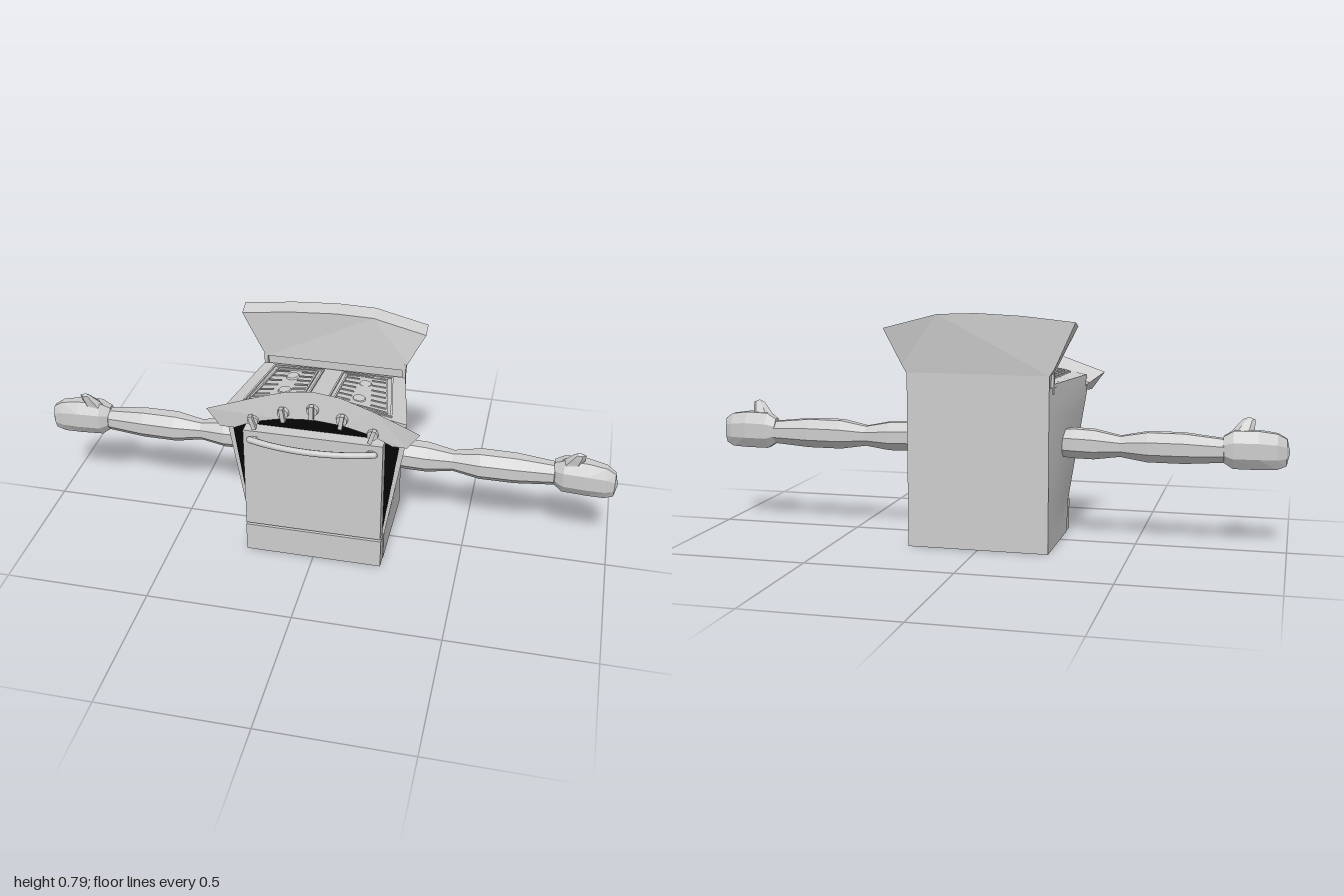
import * as THREE from 'three';

const clamp = THREE.MathUtils.clamp;

// Move every vertex by a rule, then refresh the normals
function warp(geo, rule) {
  const p = geo.attributes.position, v = new THREE.Vector3();
  for (let i = 0; i < p.count; i++) {
    v.fromBufferAttribute(p, i);
    rule(v);
    p.setXYZ(i, v.x, v.y, v.z);
  }
  geo.computeVertexNormals();
  return geo;
}

// Extrude an outline of [x, y] points between two z depths
function slab(points, z0, z1) {
  const shape = new THREE.Shape(points.map(p => new THREE.Vector2(p[0], p[1])));
  return new THREE.ExtrudeGeometry(shape, { depth: z1 - z0, bevelEnabled: false }).translate(0, 0, z0);
}

// Faceted loft through ellipses [x, y, z, radiusA, radiusB] along the x or y axis
function loft(sections, axis, sides = 8) {
  const pos = [], idx = [];
  for (const [x, y, z, a, b] of sections)
    for (let j = 0; j < sides; j++) {
      const t = (j + 0.5) / sides * Math.PI * 2, c = a * Math.cos(t), s = b * Math.sin(t);
      if (axis === 'x') pos.push(x, y + c, z + s);
      else pos.push(x + s, y, z + c);
    }
  for (let i = 0; i < sections.length - 1; i++)
    for (let j = 0; j < sides; j++) {
      const k = (j + 1) % sides, a = i * sides, b = a + sides;
      idx.push(a + j, a + k, b + j, a + k, b + k, b + j);
    }
  const g = new THREE.BufferGeometry();
  g.setAttribute('position', new THREE.Float32BufferAttribute(pos, 3));
  g.setIndex(idx);
  const flat = g.toNonIndexed();
  flat.computeVertexNormals();
  return flat;
}

// Sloping cooktop: half width and height at a point
const topWidth = z => 0.25 + 0.055 * (z + 0.17) / 0.3;
const topHeight = (x, z) => 0.56 + 0.058 * clamp((z + 0.17) / 0.3, 0, 1) * (1 - Math.abs(x) / topWidth(z));

export function createModel() {
  const root = new THREE.Group();
  root.name = 'stove';
  const grey = new THREE.MeshStandardMaterial({ color: 0xcccccc });
  grey.name = 'enamelGrey';
  const black = new THREE.MeshStandardMaterial({ color: 0x050505 });
  black.name = 'ovenBlack';

  const add = (name, geo, mat = grey, parent = root) => {
    const m = new THREE.Mesh(geo, mat);
    m.name = name;
    parent.add(m);
    return m;
  };
  const box = (name, w, h, d, x, y, z, parent = root) =>
    add(name, new THREE.BoxGeometry(w, h, d).translate(x, y, z), grey, parent);

  // Body, flaring towards the top of the front
  add('body', warp(new THREE.BoxGeometry(2, 0.55, 0.343, 1, 11, 4).translate(0, 0.275, -0.0415), v => {
    v.x *= 0.24 + 0.065 * clamp((v.y - 0.1) / 0.4, 0, 1) * clamp((v.z + 0.213) / 0.343, 0, 1);
  }));

  // Dark opening behind the door
  add('ovenOpening', slab([[-0.232, 0.1], [0.232, 0.1], [0.287, 0.51], [0.2, 0.55],
    [0, 0.585], [-0.2, 0.55], [-0.287, 0.51]], 0.129, 0.134), black);

  // Door and drawer
  box('door', 0.472, 0.383, 0.045, 0, 0.3085, 0.1575);
  box('drawer', 0.476, 0.107, 0.05, 0, 0.0535, 0.153);

  // Bowed door handle
  const bow = [];
  for (let i = 0; i <= 8; i++) {
    const u = i / 4 - 1;
    bow.push(new THREE.Vector3(0.21 * u, 0.473, 0.225 - 0.032 * u * u));
  }
  add('handle', new THREE.TubeGeometry(new THREE.CatmullRomCurve3(bow), 24, 0.011, 8));
  for (const s of [-1, 1]) {
    add('handleEnd', new THREE.SphereGeometry(0.011, 8, 6).translate(0.21 * s, 0.473, 0.193));
    box('handleMount', 0.016, 0.014, 0.024, 0.195 * s, 0.473, 0.186);
  }

  // Brow-shaped control panel, leaning back and narrowing behind
  const brow = [[-0.36, 0.565], [-0.315, 0.503], [-0.265, 0.503], [-0.2, 0.535], [-0.1, 0.56], [0, 0.568],
    [0.1, 0.56], [0.2, 0.535], [0.265, 0.503], [0.315, 0.503], [0.355, 0.56],
    [0.2, 0.622], [0.09, 0.657], [0, 0.667], [-0.09, 0.657], [-0.2, 0.622]];
  add('controlPanel', warp(slab(brow, 0.115, 0.175), v => {
    const upper = v.y > 0.56 + 0.09 * (1 - Math.abs(v.x) / 0.3) - 0.04;
    if (v.z > 0.14) v.z -= 0.13 * Math.max(0, v.y - 0.56);
    else {
      v.x *= 0.88;
      if (upper) v.y -= 0.032;
    }
  }));

  // Five knobs following the brow
  for (const [x, y] of [[-0.2, 0.54], [-0.098, 0.582], [0, 0.605], [0.098, 0.582], [0.2, 0.54]]) {
    const knob = new THREE.Group();
    knob.name = 'knob';
    knob.position.set(x, y, 0.176);
    knob.rotation.z = -x * 1.5;
    root.add(knob);
    const disc = new THREE.CylinderGeometry(0.018, 0.021, 0.014, 12).rotateX(Math.PI / 2);
    add('knobBase', disc, grey, knob);
    box('knobGrip', 0.014, 0.05, 0.018, 0, 0, 0.011, knob);
  }

  // Cooktop, ridged along the middle
  add('cooktop', warp(new THREE.BoxGeometry(2, 0.012, 0.295, 2, 1, 4).translate(0, 0, -0.0225), v => {
    const upper = v.y > 0;
    v.x *= topWidth(v.z);
    v.y = upper ? topHeight(v.x, v.z) : 0.548;
  }));

  // Thin bar lying on the cooktop between two [x, z] points
  const bar = (name, a, b, thick, lift) => {
    const p = new THREE.Vector3(a[0], topHeight(...a) + lift, a[1]);
    const q = new THREE.Vector3(b[0], topHeight(...b) + lift, b[1]);
    const m = add(name, new THREE.BoxGeometry(thick, thick, p.distanceTo(q) + thick));
    m.position.copy(p).add(q).multiplyScalar(0.5);
    m.lookAt(q);
  };

  // Two hob frames with grates and burners
  for (const s of [-1, 1]) {
    for (const inset of [0, 0.017]) {
      const ring = [[0.035 + inset, -0.15 + inset], [0.208 - inset, -0.15 + inset],
        [0.248 - inset, 0.105 - inset], [0.035 + inset, 0.105 - inset]].map(([x, z]) => [s * x, z]);
      ring.forEach((p, i) => bar('hobFrame', p, ring[(i + 1) % 4], 0.006, 0.002));
    }
    for (let i = 0; i < 6; i++) {
      const z = -0.11 + i * 0.035, outer = 0.185 + 0.16 * (z + 0.15);
      bar('grateBar', [s * 0.056, z], [s * 0.1, z], 0.004, 0.004);
      bar('grateBar', [s * (outer - 0.045), z], [s * outer, z], 0.004, 0.004);
    }
    for (const z of [-0.08, 0.035]) {
      const burner = add('burner', new THREE.CylinderGeometry(0.02, 0.024, 0.006, 12));
      burner.position.set(s * 0.127, topHeight(0.127, z) + 0.002, z);
      burner.rotation.z = -s * 0.1;
    }
  }

  // Backboard: narrow neck, then a flared and slightly twisted hood
  box('backNeck', 0.482, 0.08, 0.03, 0, 0.582, -0.198);
  const hood = [[-0.242, 0.59], [0.242, 0.59], [0.256, 0.615], [0.312, 0.737], [0.13, 0.785],
    [0, 0.79], [-0.15, 0.783], [-0.325, 0.765], [-0.258, 0.615]];
  add('backboard', warp(slab(hood, -0.213, -0.166), v => {
    const rise = clamp((v.y - 0.6) / 0.13, 0, 1);
    if (v.z > -0.19 && v.y > 0.7) v.y -= 0.016;
    v.z -= 0.026 * rise * (v.x + 0.325) / 0.637;
  }));
  for (const s of [-1, 1]) {
    box('hingePlate', 0.012, 0.07, 0.016, s * 0.244, 0.563, -0.175);
    box('hingeTab', 0.016, 0.018, 0.02, s * 0.243, 0.603, -0.178);
  }

  // Arms with mitten hands, mirrored left and right
  for (const [side, s] of [['left', 1], ['right', -1]]) {
    const arm = new THREE.Group();
    arm.name = side + 'Arm';
    arm.scale.x = s;
    root.add(arm);
    add('upperArm', loft([[0.2, 0.345, -0.025, 0, 0], [0.2, 0.345, -0.025, 0.045, 0.045],
      [0.29, 0.345, -0.025, 0.054, 0.05], [0.36, 0.343, -0.025, 0.053, 0.05],
      [0.45, 0.34, -0.027, 0.037, 0.033], [0.46, 0.34, -0.027, 0, 0]], 'x'), grey, arm);
    add('forearm', loft([[0.43, 0.34, -0.027, 0, 0], [0.44, 0.34, -0.027, 0.036, 0.032],
      [0.54, 0.342, -0.025, 0.054, 0.052], [0.66, 0.342, -0.025, 0.054, 0.05],
      [0.79, 0.34, -0.027, 0.042, 0.036], [0.81, 0.34, -0.027, 0, 0]], 'x'), grey, arm);
    add('hand', loft([[0.785, 0.345, -0.03, 0, 0], [0.787, 0.345, -0.03, 0.046, 0.03],
      [0.82, 0.345, -0.024, 0.068, 0.046], [0.9, 0.345, -0.018, 0.069, 0.045],
      [0.96, 0.341, -0.012, 0.064, 0.034], [0.99, 0.338, -0.006, 0.048, 0.02],
      [1.0, 0.338, -0.004, 0, 0]], 'x'), grey, arm);
    add('thumb', loft([[0.835, 0.36, -0.022, 0.03, 0.045], [0.845, 0.4, -0.016, 0.023, 0.037],
      [0.858, 0.425, -0.006, 0.015, 0.028], [0.866, 0.442, 0, 0.009, 0.02],
      [0.866, 0.45, 0.001, 0, 0]], 'y', 6), grey, arm);
  }
  return root;
}
